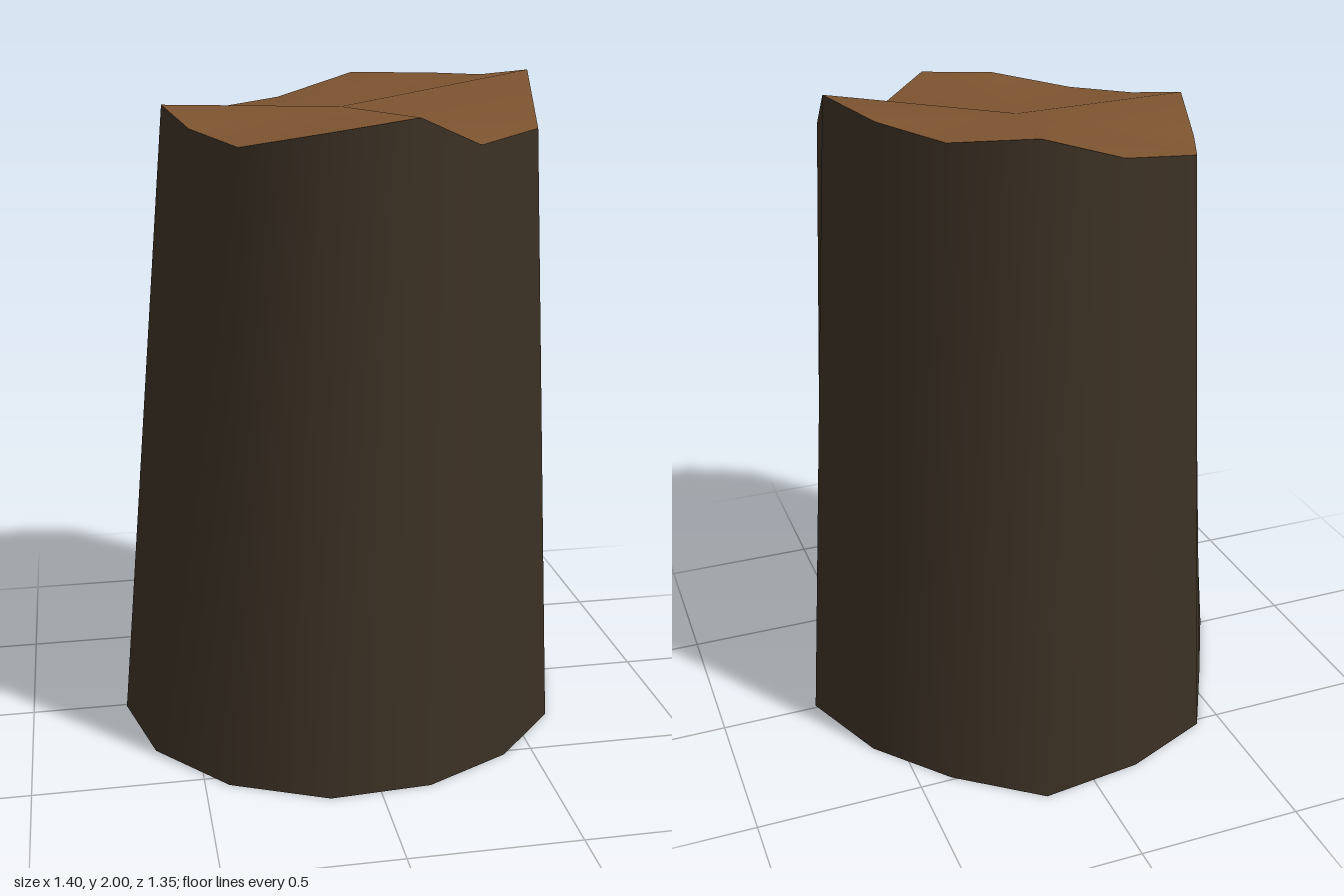
import * as THREE from 'three';

// Ground outline [x, z], running from +x towards +z
const base = [
  [0.70, 0.01], [0.61, 0.30], [0.41, 0.52], [0.15, 0.65], [-0.15, 0.67],
  [-0.43, 0.545], [-0.63, 0.31], [-0.705, 0.01], [-0.565, -0.255],
  [-0.42, -0.52], [-0.15, -0.635], [0.16, -0.675], [0.40, -0.49], [0.585, -0.27],
].map(([x, z]) => [x, 0, z]);

// Uneven broken rim [x, y, z], same order
const rim = [
  [0.565, 2.0, 0.01], [0.525, 1.855, 0.265], [0.32, 1.83, 0.41], [0.12, 1.92, 0.525],
  [-0.13, 1.89, 0.565], [-0.36, 1.845, 0.465], [-0.47, 1.87, 0.23], [-0.53, 1.915, 0.01],
  [-0.46, 1.845, -0.22], [-0.36, 1.855, -0.435], [-0.12, 1.885, -0.49],
  [0.12, 1.96, -0.49], [0.36, 1.96, -0.44], [0.48, 1.97, -0.21],
];

function surface(points, index) {
  const g = new THREE.BufferGeometry();
  g.setAttribute('position', new THREE.Float32BufferAttribute(points.flat(), 3));
  g.setIndex(index);
  g.computeVertexNormals();
  return g;
}

// Smooth wall joining two rings
function wall(lower, upper) {
  const n = lower.length, index = [];
  for (let i = 0; i < n; i++) {
    const j = (i + 1) % n;
    index.push(i, n + i, j, j, n + i, n + j);
  }
  return surface([...lower, ...upper], index);
}

// Fan from a centre point to a ring
function fan(ring, centre, up) {
  const n = ring.length, index = [];
  for (let i = 0; i < n; i++) {
    const j = (i + 1) % n;
    index.push(n, up ? j : i, up ? i : j);
  }
  return surface([...ring, centre], index);
}

export function createModel() {
  const group = new THREE.Group();
  group.name = 'treeStump';
  const bark = new THREE.MeshStandardMaterial({ color: 0x3b3024 });
  bark.name = 'darkBark';
  const wood = new THREE.MeshStandardMaterial({ color: 0x7d5430 });
  wood.name = 'cutWood';

  const add = (name, geometry, material) => {
    const mesh = new THREE.Mesh(geometry, material);
    mesh.name = name;
    group.add(mesh);
  };
  add('trunkBark', wall(base, rim), bark);
  add('brokenTop', fan(rim, [0, 1.9, 0], true), wood);
  add('underside', fan(base, [0, 0, 0], false), bark);
  return group;
}
